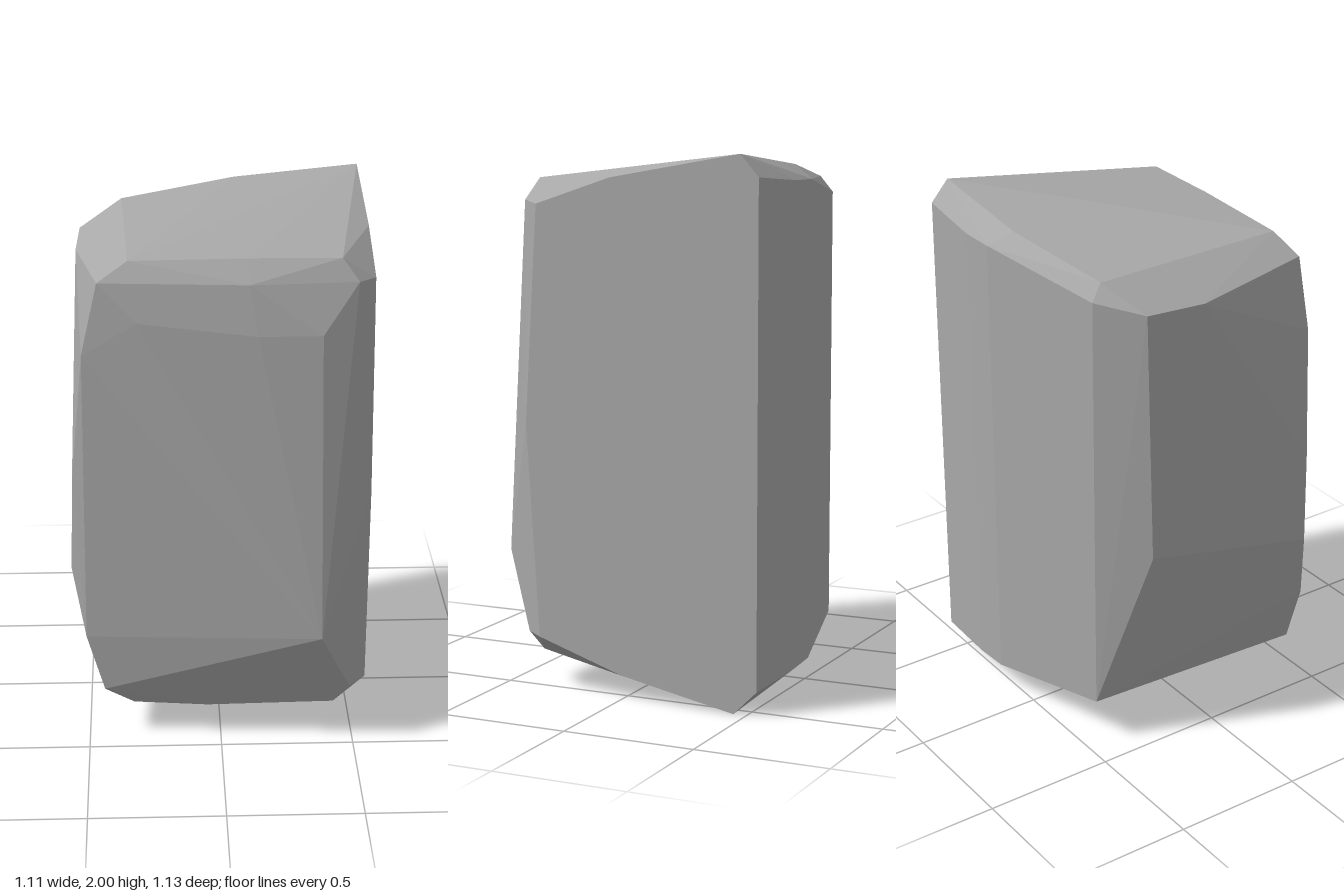
import * as THREE from 'three';
import { ConvexGeometry } from 'three/addons/geometries/ConvexGeometry.js';

// Corner points of the faceted boulder, grouped by region
const rightFace = [
  [0.555, 2.0, -0.47], [0.555, 1.92, -0.54], [0.555, 0.09, -0.54], [0.555, 0, -0.45],
  [0.555, 0.09, 0.0], [0.555, 0.2, 0.34], [0.555, 1.0, 0.39], [0.555, 1.81, 0.34], [0.555, 1.91, 0.04],
];
const back = [
  [0.13, 1.9, -0.565], [0.27, 1.9, -0.565], [0.13, 0.12, -0.565], [0.27, 0.11, -0.565],
  [-0.37, 1.83, -0.45], [-0.37, 0.18, -0.45],
];
const top = [
  [0.08, 1.95, -0.48], [-0.355, 1.89, -0.405], [-0.33, 1.89, 0.37], [0.1, 1.9, 0.385], [0.43, 1.9, 0.39],
];
const left = [
  [-0.515, 1.8, -0.32], [-0.525, 1.79, -0.08], [-0.525, 0.83, -0.3],
  [-0.44, 1.82, 0.405], [-0.5, 1.55, 0.41], [-0.545, 1.05, 0.39],
  [-0.555, 0.7, 0.385], [-0.505, 0.43, 0.42], [-0.44, 0.2, 0.41],
];
const front = [
  [0.49, 1.82, 0.42], [0.36, 1.64, 0.48], [0.13, 1.64, 0.48], [0.1, 1.82, 0.445],
  [-0.3, 1.68, 0.44], [0.37, 0.48, 0.565], [0.49, 0.2, 0.42],
];
const bottom = [[-0.33, 0.12, 0.37], [-0.05, 0.11, 0.385], [0.43, 0.12, 0.39]];

export function createModel() {
  const group = new THREE.Group();
  group.name = 'boulder';
  const stone = new THREE.MeshStandardMaterial({ color: 0xa8a8a8 });
  stone.name = 'grey stone';

  // The convex hull keeps every facet flat and sharp
  const points = [rightFace, back, top, left, front, bottom].flat()
    .map((p) => new THREE.Vector3(...p));
  const rock = new THREE.Mesh(new ConvexGeometry(points), stone);
  rock.name = 'rock';
  group.add(rock);
  return group;
}
